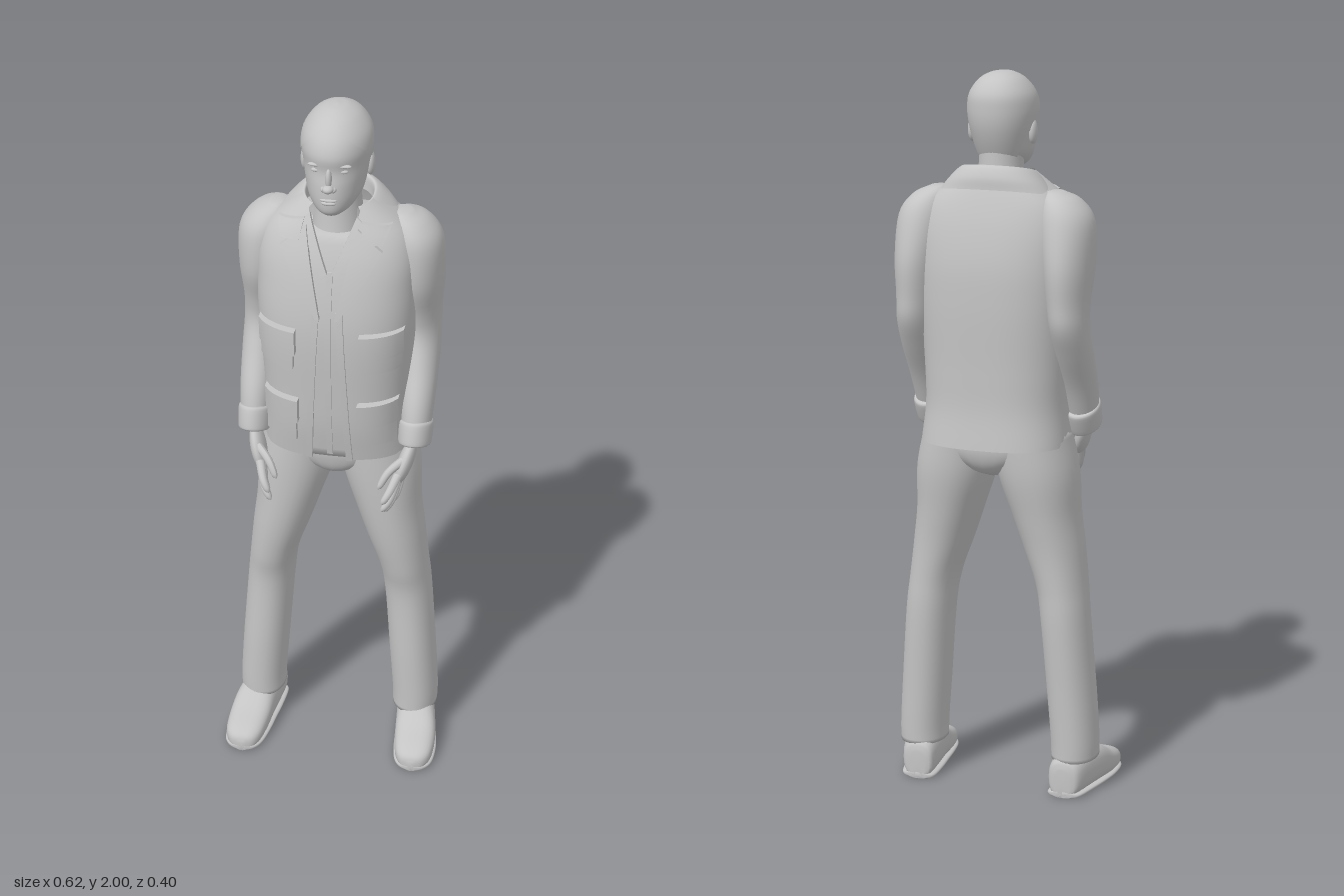
import * as THREE from 'three';
import { mergeVertices } from 'three/addons/utils/BufferGeometryUtils.js';

const grey = new THREE.MeshStandardMaterial({ color: 0xc4c4c4, side: THREE.DoubleSide });
grey.name = 'light grey';

const spow = (v, p) => Math.sign(v) * Math.pow(Math.abs(v), p);
const TAU = Math.PI * 2;

// Smooth interpolation through key rows, by index or by the first column
function sampler(keys, byFirst = false) {
  const times = keys.map((k, i) => (byFirst ? k[0] : i));
  const it = new THREE.CubicInterpolant(times, keys.flat(), keys[0].length);
  const f = u => Array.from(it.evaluate(times[0] + u * (times.at(-1) - times[0])));
  f.at = t => Array.from(it.evaluate(THREE.MathUtils.clamp(t, times[0], times.at(-1))));
  return f;
}

// Surface from a grid of points
function grid(rows, cols, fn) {
  const pos = [], idx = [], w = cols + 1;
  for (let i = 0; i <= rows; i++)
    for (let j = 0; j <= cols; j++) pos.push(...fn(i, j / cols));
  for (let i = 0; i < rows; i++)
    for (let j = 0; j < cols; j++) {
      const a = i * w + j;
      idx.push(a, a + 1, a + w + 1, a, a + w + 1, a + w);
    }
  let g = new THREE.BufferGeometry();
  g.setAttribute('position', new THREE.Float32BufferAttribute(pos, 3));
  g.setIndex(idx);
  g = mergeVertices(g, 1e-5);
  g.computeVertexNormals();
  return g;
}

// Upright loft; key rows are [y, centreX, halfWidth, zFront, zBack]
function loft(keys, { n = 2, rows = 28, cols = 32, side = 1, gap = null, cap = true,
  tilt = 0, narrow = 0, byY = false, grow = 0 } = {}) {
  const s = sampler(keys, byY), ends = cap ? 1 : 0;
  return grid(rows + 2 * ends, cols, (i, t) => {
    const k = i - ends, [y, cx, rx, zf, zb] = s(THREE.MathUtils.clamp(k / rows, 0, 1));
    const r = k < 0 || k > rows ? 0 : 1;
    const a0 = gap ? gap(y, rx) : 0, a = a0 + t * (TAU - 2 * a0);
    const cz = (zf + zb) / 2, c = Math.cos(a);
    const x = spow(Math.sin(a), 2 / n) * (rx + grow) * (1 - narrow * Math.max(0, c));
    const z = spow(c, 2 / n) * ((zf - zb) / 2 + grow);
    return [side * cx + x * r, y + tilt * z * r, cz + z * r];
  });
}

function mirror(geo) {
  const g = geo.clone().scale(-1, 1, 1), ix = g.index.array;
  for (let i = 0; i < ix.length; i += 3) [ix[i], ix[i + 1]] = [ix[i + 1], ix[i]];
  g.computeVertexNormals();
  return g;
}

const torsoKeys = [
  [1.0, 0, .205, .125, -.2], [1.1, 0, .197, .142, -.188], [1.2, 0, .2, .15, -.187],
  [1.4, 0, .213, .157, -.19], [1.5, 0, .215, .145, -.185], [1.6, 0, .21, .12, -.165],
  [1.66, 0, .185, .095, -.145], [1.7, 0, .14, .075, -.128], [1.735, 0, .095, .055, -.11],
];
const torsoAt = sampler(torsoKeys, true).at;
const TORSO_N = 2.6;
function torsoZ(x, y) {
  const [, , rx, zf, zb] = torsoAt(y), u = Math.min(Math.abs(x) / rx, .96);
  return (zf + zb) / 2 + (zf - zb) / 2 * Math.pow(1 - Math.pow(u, TORSO_N), 1 / TORSO_N);
}

// Thick cloth panel lying on the chest; corners bottom-inner, bottom-outer, top-outer, top-inner
function panel([a, b, c, d], thick, lift = -.004) {
  const g = new THREE.BoxGeometry(1, 1, 1, 8, 8, 1), p = g.attributes.position;
  for (let i = 0; i < p.count; i++) {
    const u = p.getX(i) + .5, v = p.getY(i) + .5;
    const q = k => (a[k] * (1 - u) + b[k] * u) * (1 - v) + (d[k] * (1 - u) + c[k] * u) * v;
    p.setXYZ(i, q(0), q(1), torsoZ(q(0), q(1)) + lift + thick * (p.getZ(i) + .5));
  }
  g.computeVertexNormals();
  return g;
}
const rect = (x0, x1, y0, y1) => [[x0, y0], [x1, y0], [x1, y1], [x0, y1]];
const ball = (x, y, z, sx, sy, sz) => new THREE.SphereGeometry(1, 20, 14).scale(sx, sy, sz).translate(x, y, z);

export function createModel() {
  const model = new THREE.Group();
  model.name = 'standingMan';
  const add = (name, geo) => {
    const m = new THREE.Mesh(geo, grey);
    m.name = name;
    model.add(m);
  };
  const pair = (name, geo) => { add(name + 'Left', geo); add(name + 'Right', mirror(geo)); };

  // Head, hair and neck
  const headKeys = [
    [1.735, 0, .028, .118, .05], [1.75, 0, .052, .134, -.02], [1.78, 0, .072, .138, -.07],
    [1.82, 0, .081, .136, -.088], [1.86, 0, .088, .13, -.1], [1.9, 0, .092, .134, -.104],
    [1.94, 0, .085, .118, -.1], [1.975, 0, .06, .082, -.075], [1.993, 0, .03, .042, -.04],
    [1.998, 0, .004, .01, -.006],
  ];
  add('head', loft(headKeys, { n: 2.15, rows: 40, cols: 40, narrow: .12 }));
  const hairline = sampler([[1.775, 2.3], [1.83, 2], [1.87, 1.5], [1.91, 1.05], [1.955, .45], [2, 0]], true).at;
  add('hair', loft([[1.765, 0, .064, .13, -.06], ...headKeys.slice(2)],
    { n: 2.15, rows: 36, cols: 40, narrow: .12, grow: .0025, cap: false, gap: y => Math.max(0, hairline(y)[1]) }));
  add('neck', loft([[1.58, 0, .075, .085, -.08], [1.66, 0, .068, .068, -.085],
    [1.74, 0, .06, .06, -.078], [1.82, 0, .06, .06, -.075]]));

  // Face
  add('noseBridge', ball(0, 1.843, .129, .009, .03, .013));
  add('noseTip', ball(0, 1.82, .138, .015, .011, .017));
  add('upperLip', ball(0, 1.787, .133, .023, .005, .009));
  add('lowerLip', ball(0, 1.778, .133, .02, .006, .009));
  pair('nostril', ball(.013, 1.817, .133, .008, .008, .01));
  pair('eye', ball(.034, 1.862, .115, .014, .006, .008));
  pair('brow', ball(.035, 1.878, .117, .022, .005, .009).rotateZ(0));
  pair('ear', ball(.086, 1.838, .002, .012, .033, .02));

  // Shirt under the open jacket
  add('shirt', loft(torsoKeys.slice(0, 7), { n: TORSO_N, grow: -.012, byY: true, cols: 48 }));
  pair('shirtCollar', panel([[.006, 1.57], [.022, 1.56], [.085, 1.69], [.062, 1.71]], .012, -.008));
  add('shirtFastening', panel(rect(-.008, .008, 1.01, 1.57), .006, -.013));

  // Jacket shell with its front opening
  const openAt = sampler([[1.0, .05], [1.25, .032], [1.48, .02], [1.6, .045], [1.735, .07]], true).at;
  add('jacketBody', loft(torsoKeys, {
    n: TORSO_N, rows: 44, cols: 64, byY: true, cap: false,
    gap: (y, rx) => Math.asin(Math.pow(openAt(y)[1] / rx, TORSO_N / 2)),
  }));
  pair('jacketPlacket', panel([[.047, 1.0], [.064, 1.0], [.04, 1.47], [.022, 1.47]], .011));
  pair('lapel', panel([[.02, 1.45], [.03, 1.45], [.135, 1.63], [.068, 1.685]], .016));
  pair('collarPoint', panel([[.085, 1.65], [.135, 1.648], [.15, 1.685], [.075, 1.7]], .018));
  add('jacketCollar', loft([[1.672, 0, .162, .085, -.142], [1.705, 0, .135, .075, -.138],
    [1.735, 0, .105, .062, -.122], [1.738, 0, .09, .052, -.105], [1.7, 0, .088, .05, -.1]],
  { n: 2.2, cols: 48, tilt: -.22, cap: false, gap: () => .65 }));

  // Pockets with flaps
  for (const [name, x0, x1, y0, y1] of [['chestPocket', .085, .195, 1.295, 1.4], ['hipPocket', .08, .182, 1.06, 1.185]]) {
    pair(name, panel(rect(x0 + .006, x1 - .004, y0, y1 - .02), .021));
    pair(name + 'Flap', panel(rect(x0, x1, y1 - .06, y1 + .01), .029));
  }

  // Trousers
  add('trouserSeat', loft([[.905, 0, .025, .03, -.09], [.93, 0, .08, .08, -.145],
    [.98, 0, .17, .1, -.17], [1.06, 0, .18, .105, -.17]], { n: 2.2 }));
  const legKeys = [
    [.1, .226, .064, .06, -.108], [.16, .225, .065, .06, -.11], [.3, .215, .066, .06, -.115],
    [.5, .199, .066, .057, -.125], [.6, .186, .068, .074, -.126], [.7, .163, .08, .088, -.132],
    [.8, .14, .091, .096, -.146], [.92, .118, .108, .1, -.165], [1.04, .1, .1, .1, -.17],
  ];
  const armKeys = [
    [1.05, .222, .039, .1, -.008], [1.15, .222, .046, .076, -.054], [1.25, .221, .05, .032, -.115],
    [1.33, .218, .052, .006, -.157], [1.4, .214, .056, .015, -.166], [1.5, .21, .067, .048, -.17],
    [1.61, .2, .073, .05, -.146], [1.665, .185, .052, .025, -.115], [1.69, .165, .022, -.015, -.07],
  ];
  // Shoe rows run along z: [z, centreX, halfWidth, height]
  const shoeAt = sampler([
    [-.114, .216, .022, .08], [-.1, .218, .045, .11], [-.03, .228, .054, .125], [.04, .239, .058, .118],
    [.1, .246, .059, .085], [.16, .25, .052, .064], [.19, .25, .034, .048], [.2, .25, .008, .028],
  ]);
  const shoe = (grow, height) => grid(30, 28, (i, t) => {
    const [z, cx, hw, h0] = shoeAt(THREE.MathUtils.clamp((i - 1) / 28, 0, 1));
    const h = height || h0, r = i === 0 || i === 30 ? 0 : 1, a = t * TAU;
    return [cx + r * spow(Math.sin(a), .75) * (hw + grow), h / 2 - r * spow(Math.cos(a), .75) * h / 2, z];
  });
  pair('trouserLeg', loft(legKeys, { rows: 40, n: 2.15 }));
  pair('shoe', shoe(0));
  pair('shoeSole', shoe(.003, .018));

  // Sleeves and cuffs
  pair('sleeve', loft(armKeys, { rows: 40 }));
  pair('cuff', loft([[1.032, .222, .04, .112, .002], [1.04, .222, .045, .114, -.008],
    [1.085, .222, .047, .1, -.03], [1.095, .222, .042, .09, -.03]], { tilt: .35, rows: 12 }));

  // Hands: palm, then tapered fingers bent at the middle
  const palm = new THREE.SphereGeometry(1, 20, 16).scale(.021, .066, .043);
  const wrist = new THREE.Vector3(.222, 1.05, .058), knuckle = new THREE.Vector3(.188, .945, .122);
  palm.applyQuaternion(new THREE.Quaternion().setFromUnitVectors(
    new THREE.Vector3(0, 1, 0), wrist.clone().sub(knuckle).normalize()));
  palm.translate(.204, .994, .092);
  pair('palm', palm);
  const fingers = [
    ['indexFinger', [.19, .975, .138], [.172, .94, .18], [.155, .912, .195]],
    ['middleFinger', [.188, .96, .125], [.172, .91, .168], [.152, .88, .182]],
    ['ringFinger', [.189, .952, .11], [.176, .9, .145], [.157, .866, .16]],
    ['littleFinger', [.193, .952, .096], [.184, .905, .12], [.168, .878, .134]],
    ['thumb', [.2, 1.01, .115], [.165, .985, .145], [.14, .94, .165]],
  ];
  for (const [name, ...pts] of fingers) {
    const curve = new THREE.CatmullRomCurve3(pts.map(p => new THREE.Vector3(...p)));
    const g = new THREE.TubeGeometry(curve, 14, 1, 10), p = g.attributes.position;
    const v = new THREE.Vector3();
    for (let i = 0; i < p.count; i++) {
      const t = Math.floor(i / 11) / 14, c = curve.getPointAt(t);
      const r = (.0125 - .003 * t) * Math.sqrt(Math.max(0, 1 - Math.pow(t, 10)));
      v.fromBufferAttribute(p, i).sub(c).multiplyScalar(r).add(c);
      p.setXYZ(i, v.x, v.y, v.z);
    }
    g.computeVertexNormals();
    pair(name, g);
  }
  return model;
}
